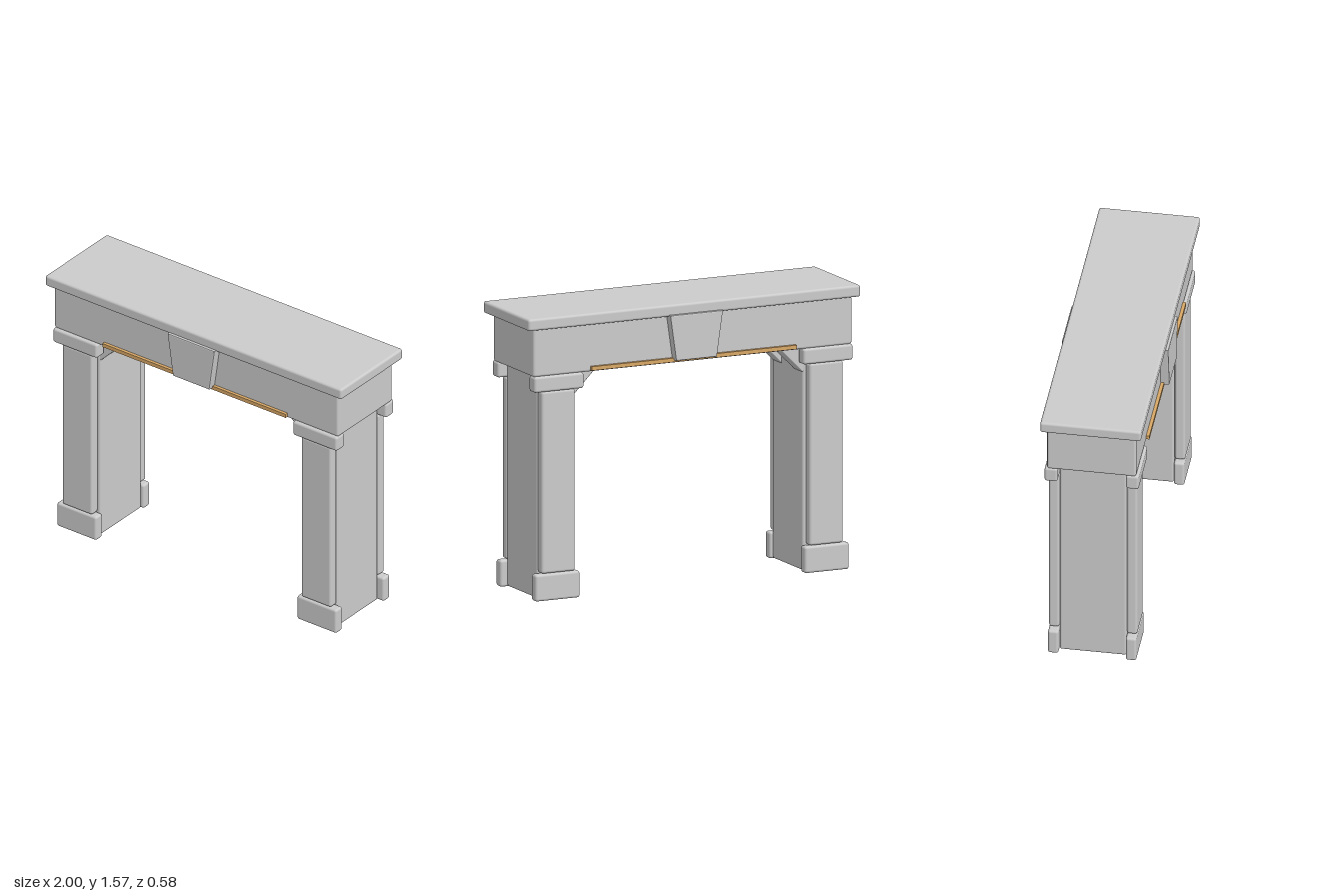
import * as THREE from 'three';
import { RoundedBoxGeometry } from 'three/addons/geometries/RoundedBoxGeometry.js';

const stone = new THREE.MeshStandardMaterial({ color: 0xcccccc });
const wood = new THREE.MeshStandardMaterial({ color: 0xd9a866 });

// Soft-edged block given by its min and max corners
function block(name, [x0, y0, z0], [x1, y1, z1], bevel = 0.014) {
  const geo = new RoundedBoxGeometry(x1 - x0, y1 - y0, z1 - z0, 2, bevel);
  const mesh = new THREE.Mesh(geo, stone);
  mesh.position.set((x0 + x1) / 2, (y0 + y1) / 2, (z0 + z1) / 2);
  mesh.name = name;
  return mesh;
}

// Block spanning a x-range on one side, mirrored by the signs sx and sz
function mirrored(name, sx, sz, [xa, xb], [y0, y1], [za, zb], bevel) {
  const xs = [xa * sx, xb * sx].sort((a, b) => a - b);
  const zs = [za * sz, zb * sz].sort((a, b) => a - b);
  return block(name, [xs[0], y0, zs[0]], [xs[1], y1, zs[1]], bevel);
}

// Tapered keystone with bevelled edges, facing +z
function keystoneGeometry() {
  const b = 0.007;
  const shape = new THREE.Shape();
  shape.moveTo(-0.124 + b, 1.257 + b);
  shape.lineTo(0.124 - b, 1.257 + b);
  shape.lineTo(0.159 - b, 1.51 - b);
  shape.lineTo(-0.159 + b, 1.51 - b);
  shape.closePath();
  const geo = new THREE.ExtrudeGeometry(shape, {
    depth: 0.09 - 2 * b, bevelThickness: b, bevelSize: b, bevelSegments: 2,
  });
  return geo.translate(0, 0, 0.2 + b);
}

export function createModel() {
  const model = new THREE.Group();
  model.name = 'mantelpiece';

  // Shelf and lintel
  model.add(block('shelf', [-1, 1.5, -0.275], [1, 1.565, 0.275]));
  const body = new THREE.Group();
  body.name = 'body';
  body.position.x = -0.004;
  model.add(body);
  body.add(block('lintel', [-0.959, 1.237, -0.243], [0.959, 1.505, 0.243]));

  // Piers with inner corner braces
  for (const sx of [-1, 1]) {
    body.add(mirrored('pier', sx, 1, [0.691, 0.907], [0.004, 1.242], [-0.183, 0.183]));
    for (const sz of [-1, 1]) {
      const brace = new THREE.Mesh(new RoundedBoxGeometry(0.21, 0.1, 0.11, 2, 0.006), stone);
      brace.name = 'cornerBrace';
      brace.position.set(sx * 0.656, 1.204, sz * 0.125);
      brace.rotation.z = -sx * Math.PI / 4;
      body.add(brace);
    }
  }

  // Pilasters, keystone and wooden strip on the front and back
  for (const sz of [1, -1]) {
    for (const sx of [-1, 1]) {
      body.add(mirrored('base', sx, sz, [0.677, 0.944], [0, 0.147], [0.183, 0.241]));
      body.add(mirrored('pilaster', sx, sz, [0.705, 0.907], [0.15, 1.152], [0.184, 0.241]));
      body.add(mirrored('capital', sx, sz, [0.661, 0.959], [1.153, 1.24], [0.185, 0.257]));
    }
    const keystone = new THREE.Mesh(keystoneGeometry(), stone);
    keystone.name = 'keystone';
    keystone.rotation.y = sz > 0 ? 0 : Math.PI;
    body.add(keystone);

    const strip = new THREE.Mesh(new THREE.BoxGeometry(1.236, 0.022, 0.03), wood);
    strip.name = 'woodStrip';
    strip.position.set(0, 1.257, sz * 0.246);
    body.add(strip);
  }
  return model;
}
